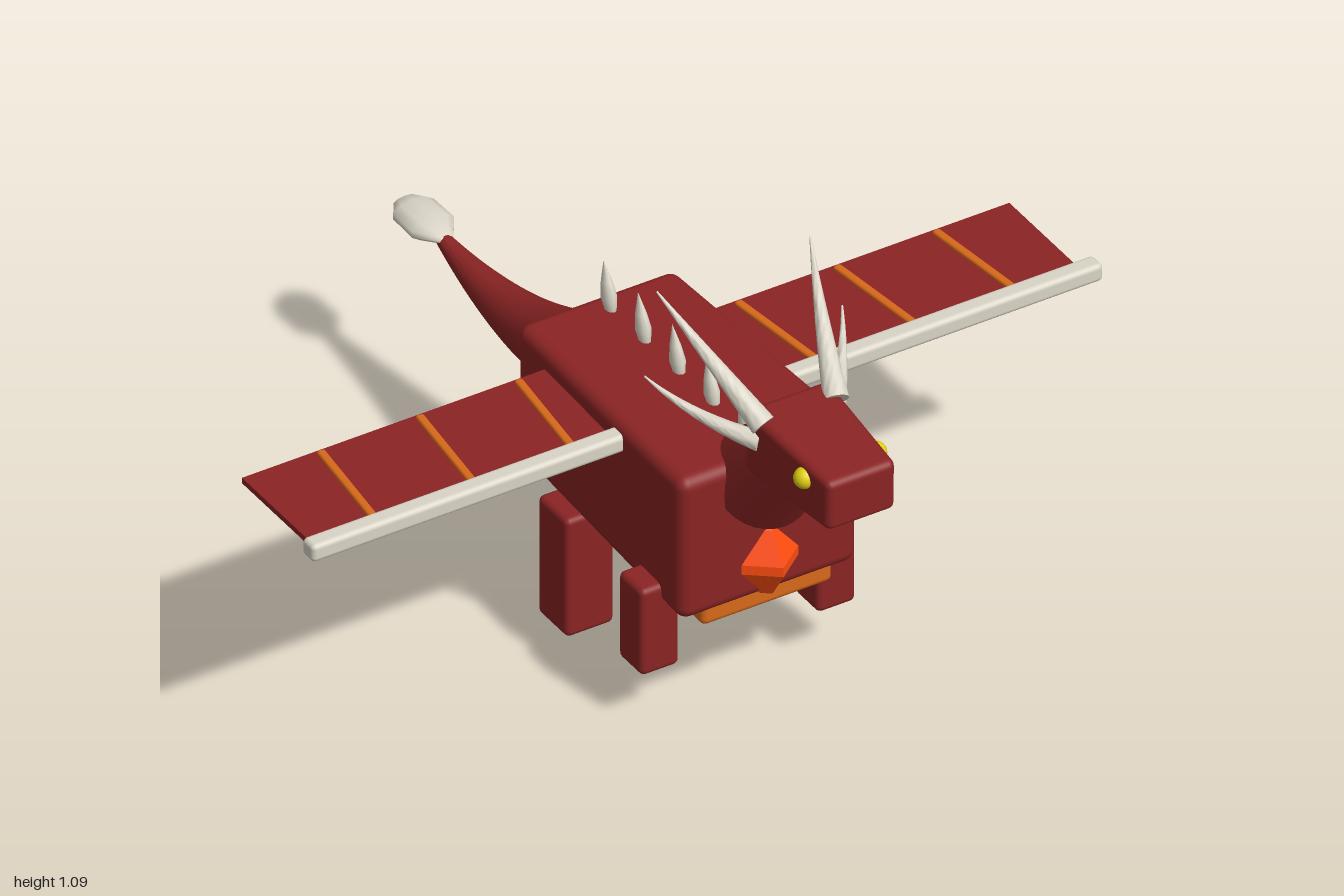
import * as THREE from 'three';
import { RoundedBoxGeometry } from 'three/addons/geometries/RoundedBoxGeometry.js';
import { toCreasedNormals } from 'three/addons/utils/BufferGeometryUtils.js';

const mat = (color, flatShading = false) => new THREE.MeshStandardMaterial({ color, flatShading });
const red = mat(0x8b2424), bone = mat(0xd9d4c6), orange = mat(0xd8691a);
const gemOrange = mat(0xff4d10, true), yellow = mat(0xe0d010);
const V = (x, y, z) => new THREE.Vector3(x, y, z);

export function createModel() {
  const model = new THREE.Group();

  const add = (name, geometry, material, x = 0, y = 0, z = 0) => {
    const mesh = new THREE.Mesh(geometry, material);
    mesh.name = name;
    mesh.position.set(x, y, z);
    model.add(mesh);
    return mesh;
  };
  const box = (w, h, d, r) => new RoundedBoxGeometry(w, h, d, 3, r);

  // Rounded box whose width and height change linearly from back (-z) to front (+z)
  const taperedBox = (w, h, d, r, back, front) => {
    const g = box(w, h, d, r), p = g.attributes.position;
    for (let i = 0; i < p.count; i++) {
      const t = p.getZ(i) / d + 0.5;
      p.setX(i, p.getX(i) * THREE.MathUtils.lerp(back[0], front[0], t));
      p.setY(i, p.getY(i) * THREE.MathUtils.lerp(back[1], front[1], t));
    }
    return g;
  };

  // Bent cone with a closed base, swept along a quadratic curve
  const bentCone = (a, b, c, r0, r1, sides = 20) => {
    const curve = new THREE.QuadraticBezierCurve3(a, b, c), n = 20;
    const g = new THREE.TubeGeometry(curve, n, 1, sides), p = g.attributes.position;
    const v = V(0, 0, 0);
    for (let i = 0; i < p.count; i++) {
      const ring = Math.floor(i / (sides + 1));
      const u = Math.max(0, ring - 1) / (n - 1);
      const r = ring === 0 ? 0 : THREE.MathUtils.lerp(r0, r1, u);
      v.fromBufferAttribute(p, i).sub(curve.getPointAt(ring / n)).multiplyScalar(r).add(curve.getPointAt(u));
      p.setXYZ(i, v.x, v.y, v.z);
    }
    return toCreasedNormals(g, 0.8);
  };

  const lathe = (points, sides) =>
    new THREE.LatheGeometry(points.map(([r, y]) => new THREE.Vector2(r, y)), sides);

  // Body and belly
  add('body', taperedBox(0.45, 0.37, 0.715, 0.03, [0.89, 0.93], [1, 1]), red, 0, 0.497, 0.206);
  add('bellyPlate', box(0.33, 0.06, 0.66, 0.015), orange, 0, 0.308, 0.226);

  // Chest gem
  add('chestGem', lathe([[0, -0.092], [0.022, -0.082], [0.08, -0.012], [0.08, 0.012], [0.022, 0.082], [0, 0.092]], 4),
    gemOrange, 0, 0.4, 0.557).scale.z = 0.78;

  // Neck leaning forward, and head
  const neckBase = V(0, 0.604, 0.534), neckDir = V(0, 0.745, 0.667).normalize();
  const neck = add('neck', new THREE.CylinderGeometry(0.083, 0.12, 0.25, 32), red);
  neck.position.copy(neckBase).addScaledVector(neckDir, 0.125);
  neck.quaternion.setFromUnitVectors(V(0, 1, 0), neckDir);
  const head = add('head', taperedBox(0.215, 0.165, 0.315, 0.02, [1, 1], [0.8, 0.76]), red, 0, 0.795, 0.784);
  head.rotation.x = 0.02;

  // Tail and its bony tip
  add('tail', bentCone(V(0, 0.485, -0.188), V(0, 0.375, -0.475), V(0, 0.447, -0.79), 0.1, 0.014, 32), red);
  const tip = add('tailTip', lathe([[0, 0], [0.018, 0.005], [0.056, 0.06], [0.054, 0.14], [0.03, 0.175], [0, 0.19]], 10),
    bone, 0, 0.449, -0.75);
  tip.rotation.x = -Math.PI / 2;
  tip.scale.z = 0.48;

  // Row of back spines leaning backwards
  for (let i = 0; i < 5; i++) {
    const spine = add('backSpine', lathe([[0, -0.03], [0.014, -0.015], [0.023, 0.025], [0.016, 0.06], [0, 0.11]], 10),
      bone, 0, 0.675, 0.473 - i * 0.14);
    spine.rotation.x = -0.26;
    spine.scale.x = 0.75;
  }

  // Mirrored parts
  for (const s of [1, -1]) {
    const side = s > 0 ? 'left' : 'right';
    add(side + 'Eye', new THREE.SphereGeometry(0.025, 20, 14), yellow, s * 0.09, 0.823, 0.85);

    // Horns
    add(side + 'UpperHorn', bentCone(V(s * 0.092, 0.862, 0.685), V(s * 0.138, 0.967, 0.55), V(s * 0.194, 1.09, 0.415), 0.029, 0.002), bone);
    add(side + 'LowerHorn', bentCone(V(s * 0.095, 0.815, 0.675), V(s * 0.195, 0.845, 0.555), V(s * 0.25, 0.912, 0.455), 0.023, 0.002), bone);

    // Legs
    add(side + 'HindLeg', box(0.122, 0.31, 0.122, 0.015), red, s * 0.169, 0.155, 0.045);
    add(side + 'ForeLeg', box(0.098, 0.226, 0.098, 0.015), red, s * 0.223, 0.252, 0.43);

    // Wing: leading spar, membrane and slanted ribs
    add(side + 'WingSpar', box(0.82, 0.045, 0.047, 0.012), bone, s * 0.59, 0.633, 0.29);
    add(side + 'WingMembrane', new THREE.BoxGeometry(0.79, 0.014, 0.29), red, s * 0.575, 0.617, 0.12);
    for (const x of [0.293, 0.543, 0.793]) {
      const rib = add(side + 'WingRib', box(0.02, 0.026, 0.275, 0.006), orange, s * x, 0.62, 0.12);
      rib.rotation.y = -s * 0.115;
      rib.rotation.y *= -1;
    }
  }
  return model;
}
